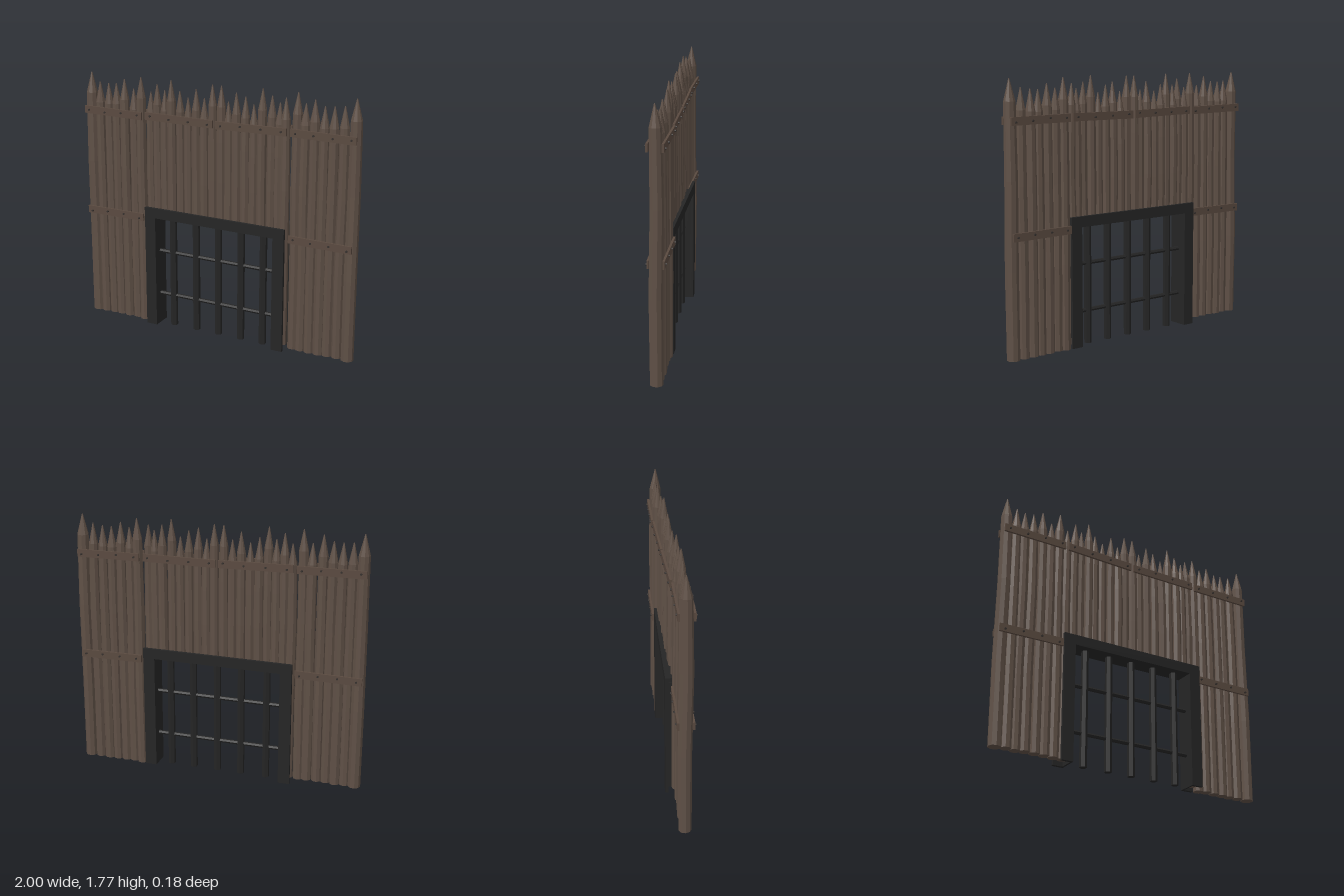
import * as THREE from 'three';

const wood = new THREE.MeshStandardMaterial({ color: 0x5f5046 });
wood.name = 'log wood';
const plankWood = new THREE.MeshStandardMaterial({ color: 0x5a4a40 });
plankWood.name = 'plank wood';
const iron = new THREE.MeshStandardMaterial({ color: 0x252525 });
iron.name = 'dark iron';
const nailIron = new THREE.MeshStandardMaterial({ color: 0x35302d });
nailIron.name = 'nail iron';

// Repeatable random numbers
let seed = 11;
const rnd = () => (seed = (seed * 16807) % 2147483647) / 2147483647;
const vary = (a) => (rnd() * 2 - 1) * a;

function add(parent, geometry, material, name, x = 0, y = 0, z = 0) {
  const mesh = new THREE.Mesh(geometry, material);
  mesh.name = name;
  mesh.position.set(x, y, z);
  parent.add(mesh);
  return mesh;
}

// Sharpened, slightly crooked log with faceted sides
function logGeometry(radius, bottom, top) {
  const shoulder = top - 0.14;
  const at = (t) => bottom + (shoulder - bottom) * t;
  const profile = [
    [0, bottom], [radius, bottom], [radius * 1.03, at(0.35)],
    [radius, at(0.7)], [radius * 0.9, shoulder], [0.003, top],
  ].map(([r, y]) => new THREE.Vector2(r, y));
  const geo = new THREE.LatheGeometry(profile, 9, rnd() * 6);
  const bendX = vary(0.004), bendZ = vary(0.006);
  const p = geo.attributes.position;
  for (let i = 0; i < p.count; i++) {
    const s = Math.sin((p.getY(i) / 1.6) * Math.PI * 2);
    p.setX(i, p.getX(i) + bendX * s);
    p.setZ(i, p.getZ(i) + bendZ * s);
  }
  const flat = geo.toNonIndexed();
  flat.computeVertexNormals();
  return flat;
}

// Depth of the wall's centre line, which steps back from left to right
function wallZ(x) {
  if (x < -0.53) return 0.02;
  if (x > 0.53) return -0.03;
  return -0.005 - 0.035 * x;
}

// Plank with three nails, running between two x positions
function plank(parent, x0, x1, y, side, tilt) {
  const g = new THREE.Group();
  g.name = side > 0 ? 'frontPlank' : 'backPlank';
  const x = (x0 + x1) / 2, w = x1 - x0;
  const dz = wallZ(x1) - wallZ(x0);
  g.position.set(x, y, (wallZ(x0) + wallZ(x1)) / 2 + side * 0.048);
  g.rotation.set(0, -Math.atan2(dz, w), tilt);
  add(g, new THREE.BoxGeometry(w, 0.052, 0.014), plankWood, 'plankBoard');
  for (const k of [-0.42, -0.14, 0.15, 0.43]) {
    const nail = add(g, new THREE.CylinderGeometry(0.007, 0.007, 0.012, 6), nailIron, 'nail',
      k * w, vary(0.008), side * 0.01);
    nail.rotation.x = Math.PI / 2;
  }
  parent.add(g);
}

export function createModel() {
  const model = new THREE.Group();
  model.name = 'palisadeGate';

  // Log walls: [x, tip height]
  const left = [[-0.955, 1.775], [-0.885, 1.715], [-0.82, 1.71], [-0.757, 1.715],
    [-0.692, 1.75], [-0.622, 1.69], [-0.563, 1.775]];
  const middle = [[-0.495, 1.68], [-0.44, 1.74], [-0.388, 1.7], [-0.333, 1.775],
    [-0.275, 1.705], [-0.215, 1.665], [-0.152, 1.73], [-0.093, 1.675], [-0.035, 1.77],
    [0.03, 1.77], [0.083, 1.67], [0.142, 1.735], [0.205, 1.715], [0.265, 1.67],
    [0.325, 1.78], [0.392, 1.74], [0.445, 1.7], [0.487, 1.735]];
  const right = [[0.56, 1.775], [0.618, 1.71], [0.682, 1.74], [0.748, 1.705],
    [0.81, 1.71], [0.88, 1.72], [0.957, 1.775]];
  const build = (list, name, bottom) => {
    const g = new THREE.Group();
    g.name = name;
    list.forEach(([x, top], i) => {
      const outer = Math.abs(x) > 0.95;
      const inPost = name === 'gateLogs' && (i === 0 || i === list.length - 1);
      const r = outer ? 0.043 : name === 'gateLogs' ? 0.033 : 0.036;
      const z = wallZ(x) + (outer ? 0 : vary(0.006));
      add(g, logGeometry(r, inPost ? 0.03 : bottom + rnd() * 0.005, top), wood, 'log', x, 0, z);
    });
    model.add(g);
  };
  build(left, 'rightWallLogs', 0.024);
  build(middle, 'gateLogs', 0.84);
  build(right, 'leftWallLogs', 0.006);

  // Planks nailed across both faces
  for (const side of [1, -1]) {
    plank(model, -0.985, -0.535, 1.52, side, -0.01);
    plank(model, -0.51, -0.01, 1.52, side, -0.012);
    plank(model, 0.01, 0.51, 1.518, side, 0.01);
    plank(model, 0.535, 0.98, 1.518, side, -0.008);
    plank(model, -0.985, -0.535, 0.8, side, 0.008);
    plank(model, 0.535, 0.975, 0.8, side, -0.01);
  }

  // Iron gate frame: hollow channel posts and a solid lintel
  const frame = new THREE.Group();
  frame.name = 'gateFrame';
  for (const s of [-1, 1]) {
    for (const z of [-0.061, 0.059])
      add(frame, new THREE.BoxGeometry(0.08, 0.8, 0.02), iron, 'postPlate', s * 0.484, 0.41, z);
    add(frame, new THREE.BoxGeometry(0.012, 0.8, 0.1), iron, 'postInnerPlate', s * 0.45, 0.41, -0.001);
  }
  for (const z of [-0.061, 0.059])
    add(frame, new THREE.BoxGeometry(1.05, 0.07, 0.02), iron, 'lintelPlate', 0, 0.843, z);
  add(frame, new THREE.BoxGeometry(0.9, 0.03, 0.1), iron, 'lintelUnderside', 0, 0.823, -0.001);
  model.add(frame);

  // Gate bars
  const bars = new THREE.Group();
  bars.name = 'gateBars';
  for (const x of [-0.338, -0.158, 0.013, 0.185, 0.35])
    add(bars, new THREE.CylinderGeometry(0.025, 0.025, 0.8, 6).toNonIndexed(), iron, 'verticalBar', x, 0.41, 0);
  for (const y of [0.235, 0.553]) {
    const bar = add(bars, new THREE.CylinderGeometry(0.014, 0.014, 0.89, 6).toNonIndexed(), iron, 'crossBar', 0, y, 0);
    bar.rotation.z = Math.PI / 2;
  }
  bars.children.forEach((b) => b.geometry.computeVertexNormals());
  model.add(bars);

  return model;
}
